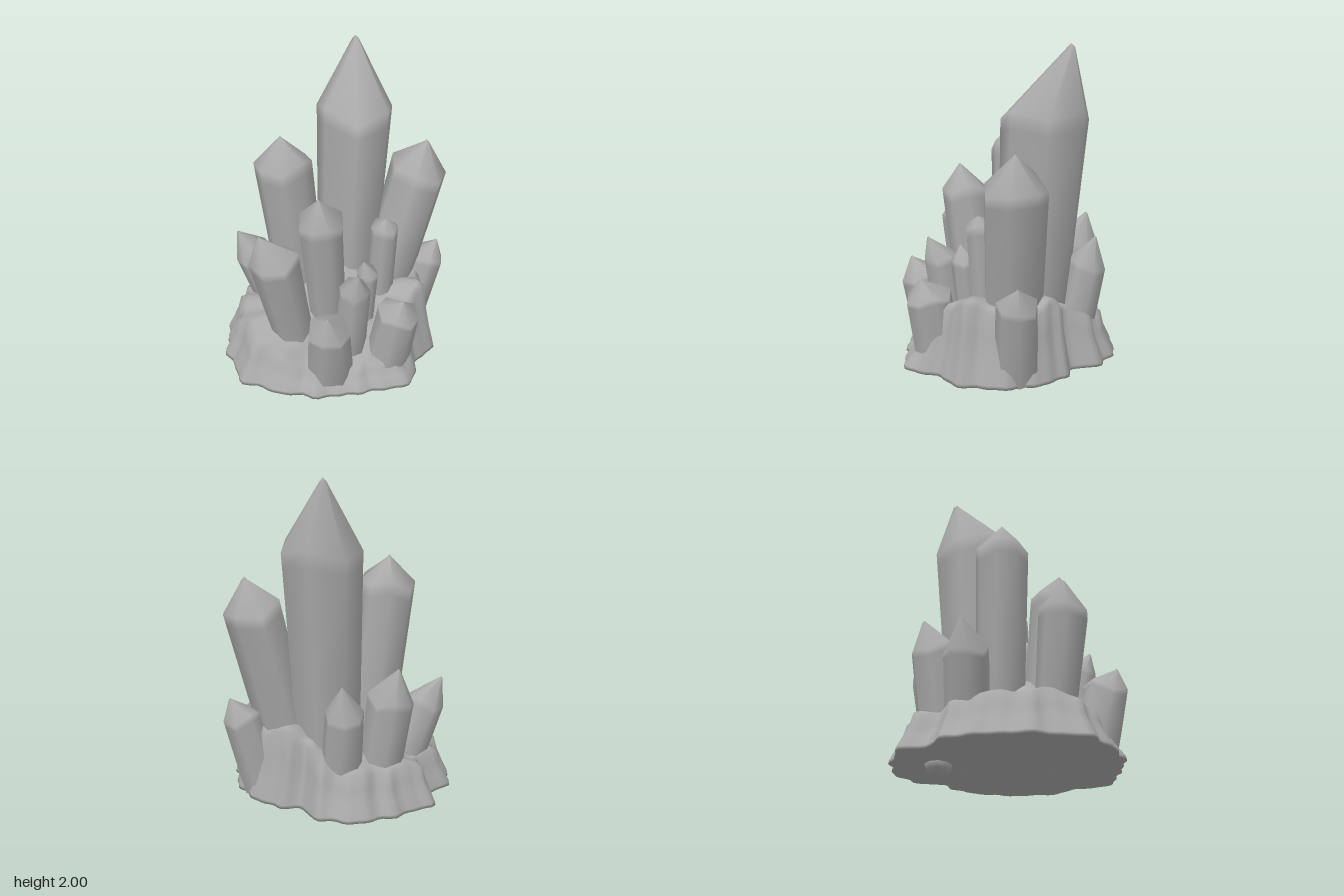
import * as THREE from 'three';

const stone = new THREE.MeshStandardMaterial({ color: 0xaaaaaa });
stone.name = 'grey stone';

// Closed surface from rings; each ring is a function of the angle, running bottom to top
function loft(sides, rings) {
  const pos = [], index = [];
  rings.forEach((ring, k) => {
    for (let i = 0; i < sides; i++) {
      pos.push(...ring(i / sides * Math.PI * 2, i));
      if (k === rings.length - 1) continue;
      const a = k * sides + i, b = k * sides + (i + 1) % sides;
      index.push(a, a + sides, b, b, a + sides, b + sides);
    }
  });
  const g = new THREE.BufferGeometry();
  g.setAttribute('position', new THREE.Float32BufferAttribute(pos, 3));
  g.setIndex(index);
  g.computeVertexNormals();
  return g;
}

// Leaning crystal: base centre, shoulder centre, tip, shoulder radii, foot width ratio
function crystal([base, shoulder, tip, rx, rz, foot = 0.85], seed) {
  const sides = 7 + seed % 2;
  const height = shoulder[1] - base[1];
  const leanX = (shoulder[0] - base[0]) / height, leanZ = (shoulder[2] - base[2]) / height;
  const ringAt = (t, uneven) => (a, i) => {
    const s = (foot + (1 - foot) * t) * 1.04;
    const dx = Math.cos(a + seed) * rx * s, dz = Math.sin(a + seed) * rz * s;
    const y = base[1] + height * t - dx * leanX - dz * leanZ;
    return [base[0] + leanX * height * t + dx,
      y + uneven * rx * Math.sin(i * 2.4 + seed * 1.7),
      base[2] + leanZ * height * t + dz];
  };
  // Slightly blunted point
  const nearTip = (a) => [
    tip[0] + Math.cos(a + seed) * rx * 0.09,
    tip[1] - rx * 0.1,
    tip[2] + Math.sin(a + seed) * rz * 0.09];
  return loft(sides, [ringAt(0, 0), ringAt(0.5, 0), ringAt(0.93, 0.15), ringAt(1, 0.2), nearTip, () => tip]);
}

// Rock outline radius and ledge height every 15 degrees, from +x towards +z
const outline = [.64, .65, .66, .61, .71, .66, .63, .65, .67, .70, .76, .73,
  .72, .70, .72, .64, .72, .68, .68, .68, .64, .54, .60, .62];
const ledge = [.52, .54, .54, .50, .25, .22, .21, .21, .24, .29, .34, .36,
  .35, .34, .32, .30, .32, .33, .33, .34, .38, .48, .52, .52];

function sample(table, a) {
  const f = a / (Math.PI * 2) * table.length, i = Math.floor(f), t = f - i;
  const s = t * t * (3 - 2 * t), n = table.length;
  return table[i % n] * (1 - s) + table[(i + 1) % n] * s;
}

function rockBase() {
  // r: share of the outline, h: share of the ledge height, y: fixed height, bump: fluting
  const ring = (r, h, y, bump) => (a) => {
    const flute = 1 + bump * (0.016 * Math.sin(17 * a) + 0.012 * Math.sin(29 * a + 1));
    const radius = sample(outline, a) * r * flute;
    const lift = 1 + bump * 0.04 * Math.sin(13 * a + 2);
    return [Math.cos(a) * radius - 0.01, y + h * sample(ledge, a) * lift, Math.sin(a) * radius];
  };
  return loft(120, [
    ring(0, 0, 0.025, 0), ring(0.3, 0, 0.025, 0), ring(0.42, 0, 0.035, 0.5), ring(0.45, 0, 0.06, 0.5),
    ring(0.8, 0, 0.065, 0.5), ring(1, 0, 0.07, 1), ring(0.995, 0, 0.09, 1),
    ring(0.94, 0.28, 0.07, 1.2), ring(0.89, 0.62, 0.03, 1.4), ring(0.865, 0.93, 0.005, 1.2),
    ring(0.81, 1, 0, 1), ring(0.68, 0.97, 0.015, 0.8), ring(0.5, 0.5, 0.23, 0.5),
    ring(0.25, 0.1, 0.52, 0.3), ring(0, 0, 0.64, 0)]);
}

const crystals = {
  mainCrystal: [[.11, .25, -.15], [.175, 1.59, -.22], [.21, 2, -.36], .23, .26, .8],
  leftTallCrystal: [[-.19, .25, -.07], [-.31, 1.34, -.07], [-.32, 1.51, -.07], .17, .155],
  rightTallCrystal: [[.29, .25, -.02], [.54, 1.23, -.025], [.58, 1.42, -.02], .165, .18, .95],
  frontTallCrystal: [[-.08, .25, .18], [-.15, 1.09, .26], [-.17, 1.25, .29], .13, .14],
  leftCrystal: [[-.29, .15, .22], [-.44, .88, .28], [-.52, 1.04, .27], .145, .14, .78],
  backCrystal: [[-.14, .2, -.37], [-.18, .72, -.44], [-.19, .92, -.52], .13, .15, .95],
  backSmallCrystal: [[.12, .2, -.4], [.13, .67, -.49], [.16, .85, -.53], .11, .11, 1.1],
  backLeftCrystal: [[-.32, .15, -.25], [-.485, .61, -.27], [-.58, .77, -.3], .115, .12, 1],
  rightSmallCrystal: [[.49, .1, -.04], [.63, .57, -.03], [.69, .69, -.03], .105, .115, 1.15],
  slimCrystal: [[.25, .25, .13], [.27, .95, .17], [.27, 1.01, .18], .08, .085, 1],
  frontSlimCrystal: [[0, .15, .34], [.02, .69, .42], [.02, .82, .49], .092, .1, 1.15],
  tinyCrystal: [[.13, .2, .23], [.14, .7, .27], [.11, .79, .29], .065, .075],
  frontLowCrystal: [[-.14, .12, .45], [-.17, .51, .55], [-.19, .64, .61], .122, .125, 1.15],
  frontRightLowCrystal: [[.23, .12, .42], [.28, .52, .48], [.29, .63, .52], .118, .13, 1.1],
};

export function createModel() {
  const group = new THREE.Group();
  group.name = 'crystal cluster';
  const add = (name, geometry) => {
    const mesh = new THREE.Mesh(geometry, stone);
    mesh.name = name;
    group.add(mesh);
    return mesh;
  };
  add('rockBase', rockBase());
  Object.entries(crystals).forEach(([name, spec], i) => add(name, crystal(spec, i)));

  // Small lump under the rock
  const lump = add('underLump', new THREE.SphereGeometry(1, 10, 6));
  lump.scale.set(.12, .065, .08);
  lump.position.set(-.12, .065, -.41);
  return group;
}
